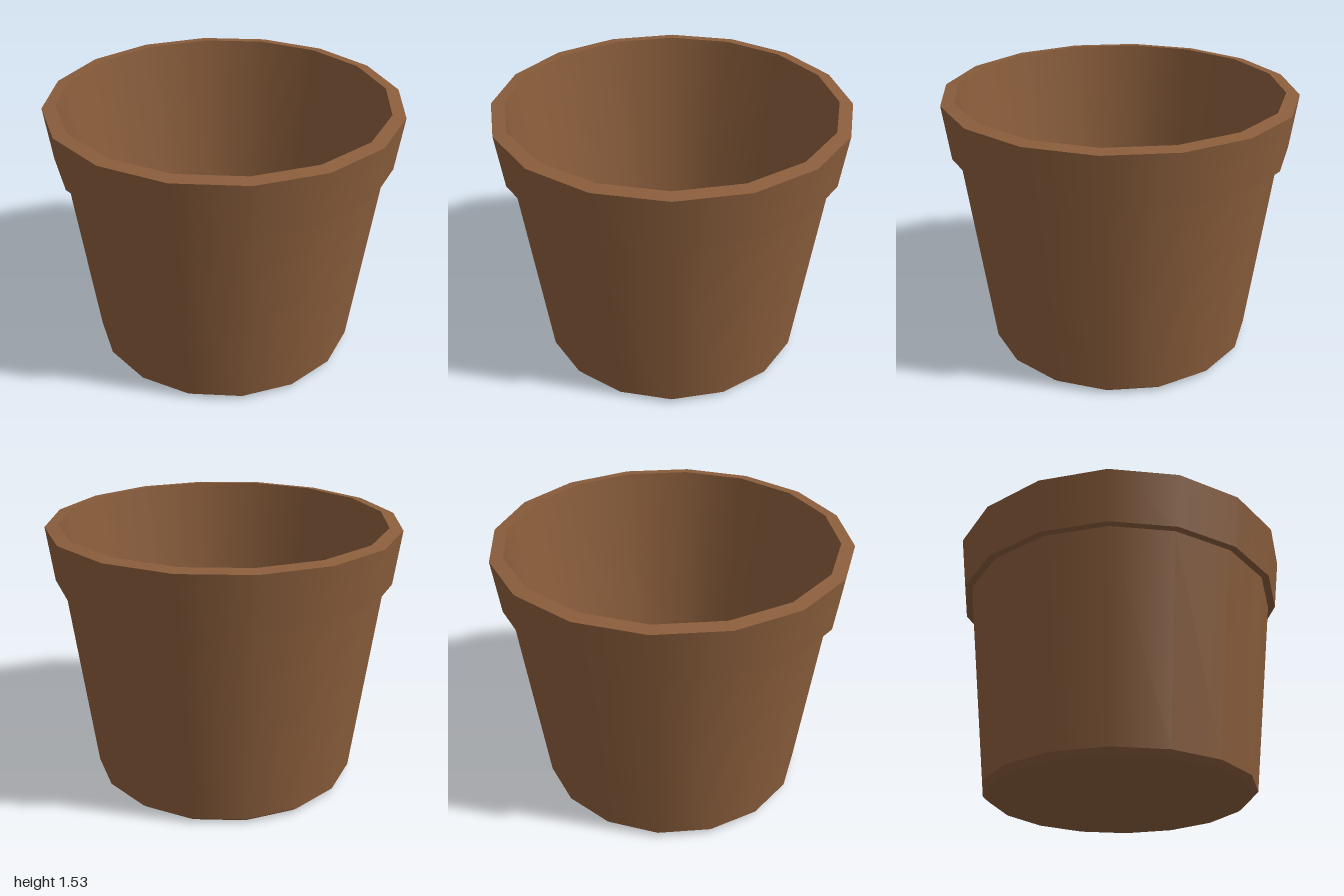
import * as THREE from 'three';

const SIDES = 16;

export function createModel() {
  const model = new THREE.Group();
  model.name = 'flowerPot';
  const clay = new THREE.MeshStandardMaterial({ color: 0x8b5e3c });
  clay.name = 'brown clay';

  // One [radius, height] ring to the next; separate bands keep the ring edges sharp
  const band = (name, from, to) => {
    const points = [from, to].map(([r, y]) => new THREE.Vector2(r, y));
    const mesh = new THREE.Mesh(new THREE.LatheGeometry(points, SIDES), clay);
    mesh.name = name;
    model.add(mesh);
  };

  // Flat sixteen-sided disc with a corner on each axis
  const disc = (name, radius, y, tilt) => {
    const mesh = new THREE.Mesh(new THREE.CircleGeometry(radius, SIDES), clay);
    mesh.name = name;
    mesh.rotation.x = tilt;
    mesh.position.y = y;
    model.add(mesh);
  };

  // Outside, from the foot up to the lip
  disc('underside', 0.745, 0, Math.PI / 2);
  band('footBevel', [0.745, 0], [0.78, 0.03]);
  band('outerWall', [0.78, 0.03], [0.92, 1.21]);
  band('collarUnderside', [0.92, 1.21], [0.962, 1.21]);
  band('collar', [0.962, 1.21], [1, 1.52]);
  band('lip', [1, 1.52], [0.925, 1.53]);

  // Inside, down to the floor
  band('innerWall', [0.925, 1.53], [0.74, 0.06]);
  disc('innerFloor', 0.74, 0.06, -Math.PI / 2);

  return model;
}
